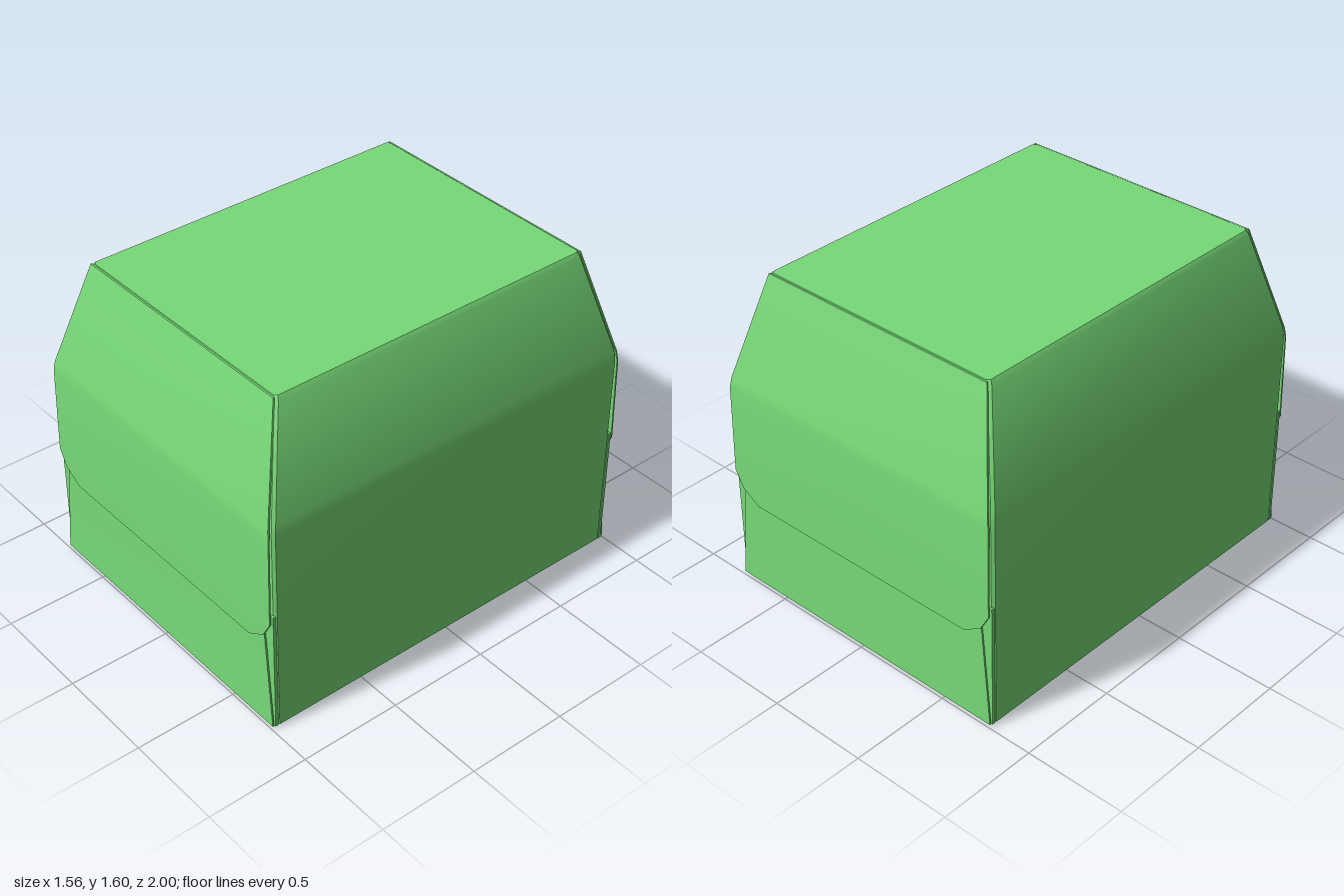
import * as THREE from 'three';
import { toCreasedNormals } from 'three/addons/utils/BufferGeometryUtils.js';

const material = new THREE.MeshStandardMaterial({ color: 0x77d977, side: THREE.DoubleSide });

// Joins cross-sections (bottom to top, points running from +x towards +z) into a closed solid
function loft(rings) {
  const n = rings[0].length;
  const pos = rings.flat(2);
  const index = [];
  for (let i = 0; i < rings.length - 1; i++) {
    for (let j = 0; j < n; j++) {
      const a = i * n + j, b = i * n + (j + 1) % n;
      index.push(a, a + n, b, b, a + n, b + n);
    }
  }
  const top = (rings.length - 1) * n;
  for (let j = 1; j < n - 1; j++) {
    index.push(0, j, j + 1, top, top + j + 1, top + j);
  }
  const g = new THREE.BufferGeometry();
  g.setAttribute('position', new THREE.Float32BufferAttribute(pos, 3));
  g.setIndex(index);
  return toCreasedNormals(g, 0.5);
}

// Horizontal rectangle with chamfered corners
function bodyRing([y, hx, hz]) {
  const c = 0.012;
  return [
    [hx, y, hz - c], [hx - c, y, hz], [-hx + c, y, hz], [-hx, y, hz - c],
    [-hx, y, -hz + c], [-hx + c, y, -hz], [hx - c, y, -hz], [hx, y, -hz + c],
  ];
}

// Thin sheet whose half width and depth vary with height
function sheet(rows, thickness) {
  return loft(rows.map(([y, hx, z]) => [
    [hx, y, z], [-hx, y, z], [-hx, y, z - thickness], [hx, y, z - thickness],
  ]));
}

function addMesh(parent, name, geometry) {
  const mesh = new THREE.Mesh(geometry, material);
  mesh.name = name;
  parent.add(mesh);
  return mesh;
}

export function createModel() {
  const model = new THREE.Group();
  model.name = 'wrappedPackage';

  // Block with upright walls, tapered shoulders and softened edges
  addMesh(model, 'body', loft([
    [0, 0.768, 0.962], [0.012, 0.78, 0.973],
    [1.05, 0.78, 0.973], [1.1, 0.774, 0.966],
    [1.575, 0.642, 0.838], [1.595, 0.628, 0.83],
  ].map(bodyRing)));

  // The same folded closure at both ends
  for (const [name, turn] of [['frontClosure', 0], ['backClosure', Math.PI]]) {
    const end = new THREE.Group();
    end.name = name;
    end.rotation.y = turn;
    model.add(end);

    // Long flap folded down from the top, with cut lower corners
    addMesh(end, 'upperFlap', sheet([
      [0.457, 0.635, 1.0], [0.515, 0.73, 1.0], [0.595, 0.775, 0.999],
      [1.03, 0.771, 0.992], [1.08, 0.763, 0.986], [1.593, 0.63, 0.842],
    ], 0.008));

    // Short tapering flap folded up from the base
    addMesh(end, 'lowerFlap', sheet([
      [0.002, 0.768, 0.975], [0.015, 0.776, 0.996],
      [0.52, 0.726, 0.99], [0.63, 0.712, 0.989],
    ], 0.008));

    // Side tucks showing beside the lower flap
    for (const s of [-1, 1]) {
      const tuck = addMesh(end, s > 0 ? 'leftTuck' : 'rightTuck', new THREE.BoxGeometry(0.1, 0.62, 0.015));
      tuck.position.set(s * 0.729, 0.32, 0.975);
    }
  }
  return model;
}
